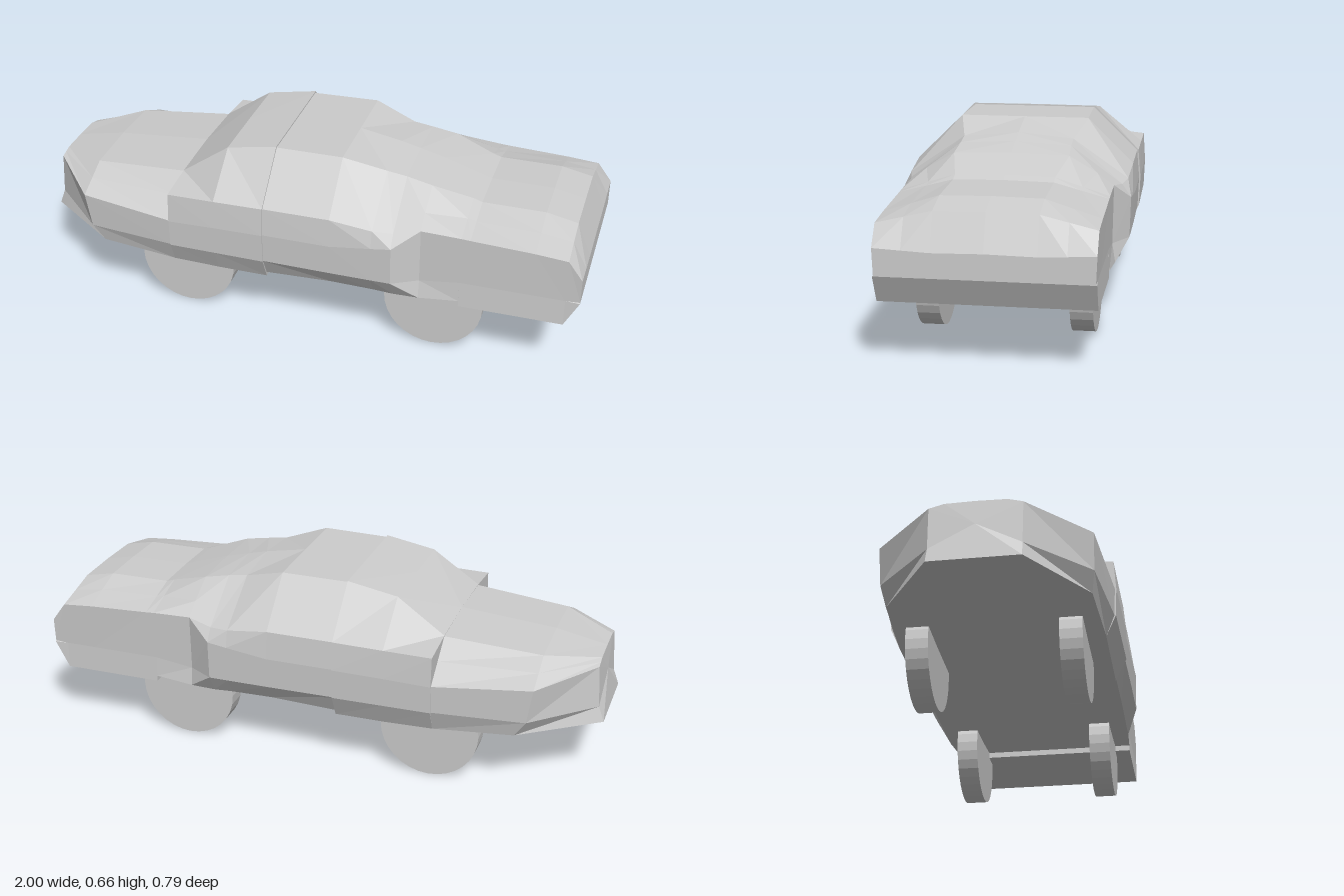
import * as THREE from 'three';

// Closed cross-section at x. Points are [z, y]; shoulder defaults to the slope's
// middle, and shift moves the sill along x.
function section(x, top, edge, belt, sill, { shoulder, lowY = 0.29, shift = 0 } = {}) {
  const mid = shoulder ?? [(edge[0] + belt[0]) / 2, (edge[1] + belt[1]) / 2];
  const at = (s, [z, y], dx = 0) => new THREE.Vector3(x + dx, y, s * z);
  const side = (s) => [
    at(s, edge), at(s, mid), at(s, belt),
    at(s, [belt[0] * 0.99, lowY], shift / 3), at(s, sill, shift),
  ];
  return [at(1, [0, top]), ...side(1), at(1, [0, sill[1]], shift), ...side(-1).reverse()];
}

// Cabin section: a belt line under a sharp shoulder
const cabin = (x, top, edge, shoulder, belt, sillY) =>
  section(x, top, edge, belt, [0.352, sillY], { shoulder });

// Tail section: straight sides of constant width
const tail = (x, top, sideY, sillY, lowY = 0.308) =>
  section(x, top, [0.165, top - 0.003], [0.345, sideY], [0.345, sillY], { lowY });

// Skin consecutive sections and close both ends
function loft(rings) {
  const n = rings[0].length;
  const points = [];
  for (let i = 0; i < rings.length - 1; i++) {
    for (let j = 0; j < n; j++) {
      const k = (j + 1) % n;
      const a = rings[i][j], b = rings[i][k], c = rings[i + 1][k], d = rings[i + 1][j];
      // mirror the diagonal so both sides crease alike
      if (j < n / 2) points.push(a, b, c, a, c, d);
      else points.push(a, b, d, b, c, d);
    }
  }
  const cap = (ring, front) => {
    const centre = ring.reduce((sum, p) => sum.add(p), new THREE.Vector3()).divideScalar(n);
    ring.forEach((p, j) => {
      const q = ring[(j + 1) % n];
      points.push(centre, ...(front ? [q, p] : [p, q]));
    });
  };
  cap(rings[0], true);
  cap(rings[rings.length - 1], false);
  const geometry = new THREE.BufferGeometry().setFromPoints(points);
  geometry.computeVertexNormals();
  return geometry;
}

export function createModel() {
  const group = new THREE.Group();
  group.name = 'car';
  const grey = new THREE.MeshStandardMaterial({ color: 0xcccccc, flatShading: true });
  grey.name = 'light grey';

  const add = (name, geometry) => {
    const mesh = new THREE.Mesh(geometry, grey);
    mesh.name = name;
    group.add(mesh);
    return mesh;
  };

  // Tapered hood with a lip under the nose
  add('hood', loft([
    section(-0.97, 0.455, [0.1, 0.453], [0.15, 0.44], [0.15, 0.235], { shift: -0.03 }),
    section(-0.79, 0.49, [0.21, 0.482], [0.35, 0.415], [0.335, 0.23], { shift: 0.06 }),
    section(-0.45, 0.518, [0.23, 0.508], [0.385, 0.39], [0.352, 0.213]),
  ]));

  // Windscreen and front doors
  add('frontCabin', loft([
    cabin(-0.45, 0.518, [0.23, 0.51], [0.383, 0.495], [0.39, 0.39], 0.213),
    cabin(-0.28, 0.63, [0.225, 0.628], [0.385, 0.497], [0.393, 0.395], 0.208),
    cabin(-0.1, 0.66, [0.225, 0.66], [0.387, 0.5], [0.396, 0.398], 0.207),
  ]));

  // Rear roof and haunches, set in slightly at the middle seam
  add('rearCabin', loft([
    cabin(-0.1, 0.655, [0.221, 0.655], [0.382, 0.498], [0.391, 0.398], 0.222),
    cabin(0.14, 0.658, [0.225, 0.658], [0.385, 0.5], [0.395, 0.4], 0.23),
    cabin(0.29, 0.63, [0.19, 0.612], [0.38, 0.48], [0.396, 0.42], 0.227),
    cabin(0.36, 0.613, [0.19, 0.602], [0.365, 0.475], [0.396, 0.43], 0.223),
    cabin(0.45, 0.59, [0.195, 0.585], [0.29, 0.53], [0.345, 0.49], 0.225),
    tail(0.59, 0.545, 0.486, 0.235),
  ]));

  // Boot with a sloping rear end and a deeper floor
  add('tail', loft([
    tail(0.59, 0.545, 0.486, 0.214),
    tail(0.62, 0.535, 0.484, 0.214),
    tail(0.84, 0.534, 0.474, 0.214),
    tail(0.95, 0.511, 0.465, 0.214),
    tail(1.0, 0.392, 0.398, 0.308, 0.311),
  ]));

  // Four solid wheels
  const wheel = new THREE.CylinderGeometry(0.176, 0.176, 0.077, 32).rotateX(Math.PI / 2);
  for (const [end, x] of [['front', -0.425], ['rear', 0.49]]) {
    for (const [side, z] of [['Near', 0.25], ['Far', -0.261]]) {
      add(`${end}Wheel${side}`, wheel).position.set(x, 0.176, z);
    }
  }
  return group;
}
